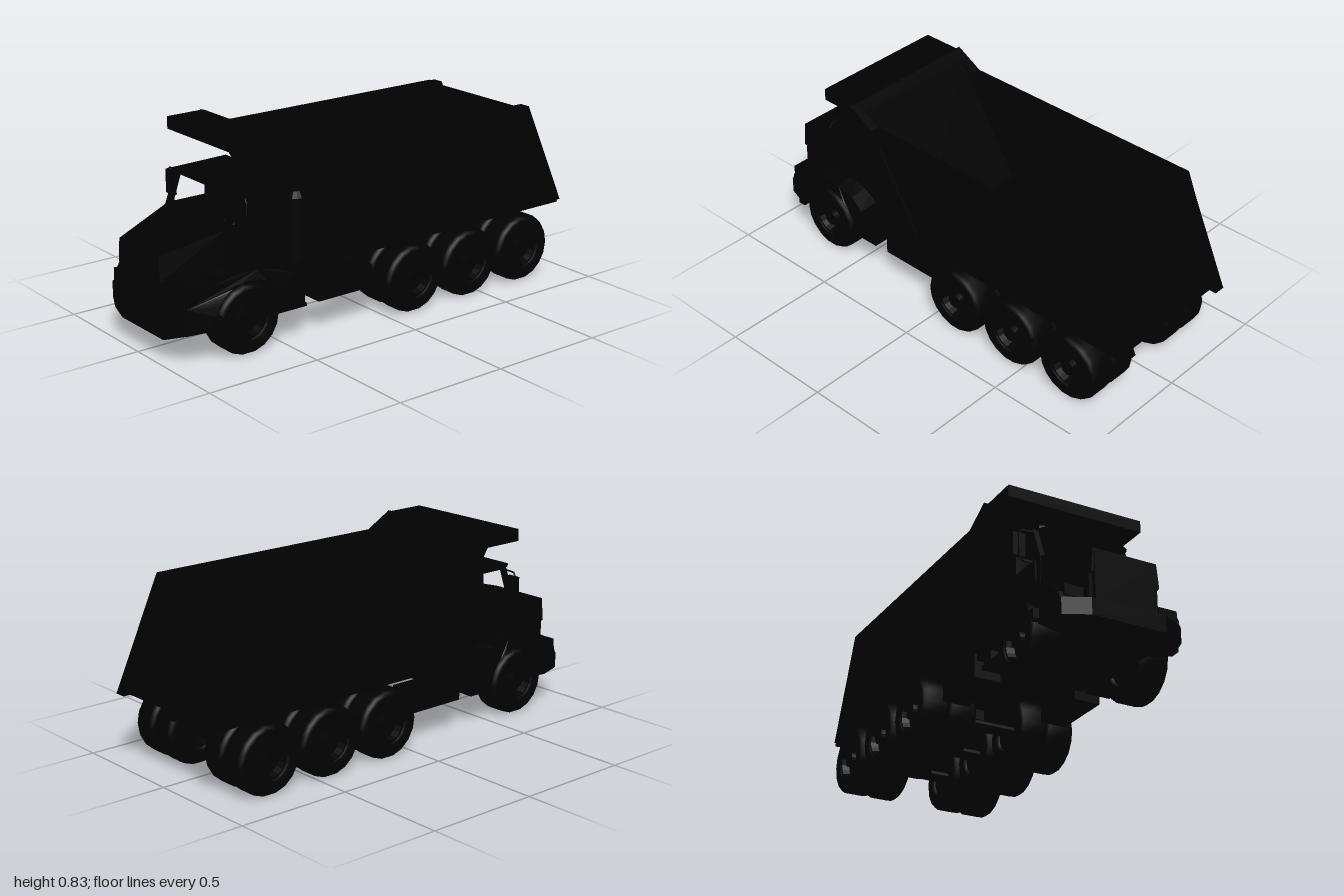
import * as THREE from 'three';
import { ConvexGeometry } from 'three/addons/geometries/ConvexGeometry.js';

const paint = new THREE.MeshStandardMaterial({ color: 0x010101, flatShading: true, side: THREE.DoubleSide });
const rubber = new THREE.MeshStandardMaterial({ color: 0x010101, side: THREE.DoubleSide });

export function createModel() {
  const truck = new THREE.Group();
  const add = (name, geometry, material = paint, parent = truck) => {
    const mesh = new THREE.Mesh(geometry, material);
    mesh.name = name;
    parent.add(mesh);
    return mesh;
  };
  // Box given by its limits
  const box = (name, x0, x1, y0, y1, z0, z1) =>
    add(name, new THREE.BoxGeometry(x1 - x0, y1 - y0, z1 - z0)
      .translate((x0 + x1) / 2, (y0 + y1) / 2, (z0 + z1) / 2));
  // Side profile of [z, y] points, extruded from x0 to x1
  const outline = pts => new THREE.Shape(pts.map(p => new THREE.Vector2(...p)));
  const slab = (name, shape, x0, x1) => {
    const s = Array.isArray(shape) ? outline(shape) : shape;
    const g = new THREE.ExtrudeGeometry(s, { depth: x1 - x0, bevelEnabled: false, curveSegments: 10 });
    return add(name, g.rotateY(-Math.PI / 2).translate(x1, 0, 0));
  };
  // Convex body, symmetric about x = 0
  const hull = (name, pts) => add(name, new ConvexGeometry(pts.flatMap(([x, y, z]) =>
    [new THREE.Vector3(x, y, z), new THREE.Vector3(-x, y, z)])));
  const tube = (name, pts, r) => add(name, new THREE.TubeGeometry(
    new THREE.CatmullRomCurve3(pts.map(p => new THREE.Vector3(...p)), false, 'catmullrom', 0.1), 12, r, 6));
  // Limits of a part on the left (s = 1) or right (s = -1)
  const span = (s, a, b) => s > 0 ? [a, b] : [-b, -a];

  // Wheels
  const wheel = (name, x, z, w) => {
    const g = new THREE.Group();
    g.name = name;
    const h = w / 2;
    const lathe = (part, pts, mat) => add(part, new THREE.LatheGeometry(
      pts.map(p => new THREE.Vector2(...p)), 18).rotateZ(-Math.PI / 2), mat, g);
    lathe('tyre', [[0.08, -h * 0.8], [0.09, -h], [0.127, -h], [0.14, -h + 0.007], [0.148, -h + 0.022],
      [0.148, h - 0.022], [0.14, h - 0.007], [0.127, h], [0.09, h], [0.08, h * 0.8]], rubber);
    lathe('rim', [[0, -h * 0.5], [0.08, -h * 0.8], [0.083, h * 0.9], [0.075, h * 0.9], [0.068, h * 0.4],
      [0.035, h * 0.5], [0.033, h * 0.9], [0, h * 0.95]], paint);
    g.position.set(x, 0.147, z);
    if (x < 0) g.rotation.y = Math.PI;
    truck.add(g);
  };
  const rearAxles = [-0.13, -0.435, -0.74];
  for (const s of [1, -1]) {
    wheel('frontWheel', s * 0.235, 0.67, 0.13);
    for (const z of rearAxles) {
      wheel('rearInnerWheel', s * 0.166, z, 0.122);
      wheel('rearOuterWheel', s * 0.29, z, 0.122);
    }
  }
  for (const z of [0.67, ...rearAxles])
    add('axle', new THREE.CylinderGeometry(0.025, 0.025, 0.4, 10).rotateZ(Math.PI / 2).translate(0, 0.147, z));

  // Chassis
  for (const s of [1, -1]) box('chassisRail', ...span(s, 0.07, 0.1), 0.226, 0.298, -0.89, 0.95);
  for (const z of [-0.87, -0.58, -0.28]) box('crossMember', -0.07, 0.07, 0.24, 0.285, z - 0.015, z + 0.015);

  // Bonnet and front underbody
  hull('bonnet', [[0.14, 0.43, 0.98], [0.15, 0.33, 0.98], [0.21, 0.5, 0.72], [0.215, 0.33, 0.7]]);
  box('engineBay', -0.15, 0.15, 0.2, 0.34, 0.42, 0.965);
  box('grille', -0.135, 0.135, 0.21, 0.42, 0.96, 0.985);
  hull('bumper', [[0.16, 0.21, 1], [0.16, 0.14, 1], [0.26, 0.21, 0.95], [0.26, 0.14, 0.95],
    [0.295, 0.21, 0.84], [0.295, 0.14, 0.84], [0.15, 0.092, 0.975], [0.18, 0.092, 0.88]]);
  slab('underTray', [[0.9, 0.098], [0.9, 0.21], [0.39, 0.21], [0.39, 0.14], [0.46, 0.135], [0.55, 0.108]], -0.16, 0.16);

  // Cab
  box('cabFloor', -0.21, 0.21, 0.29, 0.33, 0.415, 0.71);
  slab('cabBackWall', [[0.41, 0.29], [0.435, 0.29], [0.445, 0.64], [0.425, 0.64]], -0.21, 0.21);
  hull('cabRoof', [[0.2, 0.64, 0.425], [0.2, 0.655, 0.43], [0.2, 0.637, 0.69], [0.2, 0.65, 0.69], [0.175, 0.645, 0.71]]);
  box('dashboard', -0.2, 0.2, 0.46, 0.5, 0.66, 0.72);
  tube('steeringColumn', [[0.1, 0.44, 0.68], [0.1, 0.475, 0.635]], 0.008);
  add('steeringWheel', new THREE.TorusGeometry(0.033, 0.006, 6, 14).rotateX(-0.9).translate(0.1, 0.475, 0.635));

  for (const s of [1, -1]) {
    const side = outline([[0.41, 0.29], [0.72, 0.29], [0.72, 0.5], [0.665, 0.645], [0.425, 0.65], [0.42, 0.5]]);
    side.holes.push(outline([[0.53, 0.505], [0.53, 0.635], [0.65, 0.635], [0.695, 0.505]]));
    slab('cabSide', side, ...span(s, 0.19, 0.212));
    box('doorPanel', ...span(s, 0.21, 0.218), 0.35, 0.495, 0.51, 0.69);
    box('seatCushion', ...span(s, 0.06, 0.15), 0.33, 0.42, 0.46, 0.57);
    box('seatBack', ...span(s, 0.06, 0.15), 0.42, 0.5, 0.45, 0.485);
    box('headrest', ...span(s, 0.085, 0.125), 0.5, 0.545, 0.455, 0.48);

    // Mirror on a bent bracket
    box('mirror', ...span(s, 0.243, 0.298), 0.515, 0.615, 0.644, 0.66);
    tube('mirrorBracket', [[s * 0.2, 0.63, 0.665], [s * 0.27, 0.628, 0.66], [s * 0.275, 0.56, 0.665],
      [s * 0.27, 0.5, 0.66], [s * 0.21, 0.495, 0.665]], 0.004);

    // Fender with wheel arch, tapering at the nose and rounded down on the outside
    const arch = outline([[0.51, 0.2], [0.45, 0.2], [0.46, 0.29], [0.53, 0.34], [0.62, 0.365],
      [0.74, 0.365], [0.83, 0.335], [0.9, 0.285], [0.935, 0.24], [0.945, 0.2], [0.83, 0.2]]);
    arch.absarc(0.67, 0.147, 0.167, 0.32, Math.PI - 0.32, false);
    const fender = slab('frontFender', arch, ...span(s, 0.14, 0.3)).geometry;
    const p = fender.attributes.position;
    for (let i = 0; i < p.count; i++) {
      const nose = Math.max(0, p.getZ(i) - 0.83);
      const crown = Math.max(0, p.getY(i) - 0.29);
      if (Math.abs(p.getX(i)) > 0.2) {
        p.setX(i, s * (0.3 - nose * 0.35 - crown * 0.25));
        p.setY(i, p.getY(i) - crown * 0.35);
      }
    }
    fender.computeVertexNormals();
    box('headlamp', ...span(s, 0.165, 0.245), 0.225, 0.27, 0.9, 0.95);
    box('sideLamp', ...span(s, 0.285, 0.318), 0.16, 0.2, 0.81, 0.845);

    // Steps and tanks behind the cab
    box('upperStep', ...span(s, 0.15, 0.28), 0.2, 0.29, 0.335, 0.5);
    box('lowerStep', ...span(s, 0.18, 0.29), 0.135, 0.15, 0.39, 0.53);
    box('stepBracket', ...span(s, 0.19, 0.28), 0.14, 0.21, 0.39, 0.45);
    box('sideTank', ...span(s, 0.17, 0.285), 0.135, 0.232, 0.05, 0.325);

    // Bed side: shallow recessed panel with a raised frame
    const edge = [[-0.965, 0.309], [0.136, 0.309], [0.43, 0.775], [0.47, 0.83], [0.35, 0.762], [-0.775, 0.762]];
    slab('bedSidePanel', edge, ...span(s, 0.285, 0.316));
    const frame = outline(edge);
    frame.holes.push(outline([[-0.89, 0.355], [0.1, 0.355], [0.31, 0.7], [-0.745, 0.7]]));
    slab('bedSideFrame', frame, ...span(s, 0.316, 0.324));
    slab('tailPost', [[-1, 0.309], [-0.94, 0.309], [-0.74, 0.765], [-0.79, 0.765]], ...span(s, 0.255, 0.305));
  }

  // Exhaust stack behind the cab
  add('stack', new THREE.CylinderGeometry(0.041, 0.041, 0.26, 12).translate(0.17, 0.425, 0.35));
  add('stackCap', new THREE.CylinderGeometry(0.025, 0.041, 0.03, 12).translate(0.17, 0.567, 0.35));
  add('stackPipe', new THREE.CylinderGeometry(0.025, 0.025, 0.03, 12).translate(0.17, 0.585, 0.35));

  // Dump bed
  box('bedFloor', -0.29, 0.29, 0.309, 0.335, -0.95, 0.13);
  slab('bedFrontPlate', [[0.136, 0.309], [0.43, 0.775], [0.47, 0.83], [0.42, 0.802], [0.1, 0.309]], -0.3, 0.3);
  slab('canopy', [[0.43, 0.778], [0.64, 0.778], [0.64, 0.83], [0.465, 0.83]], -0.305, 0.305);
  slab('tailgate', [[-0.968, 0.309], [-0.935, 0.309], [-0.742, 0.755], [-0.775, 0.755]], -0.29, 0.29);
  return truck;
}
